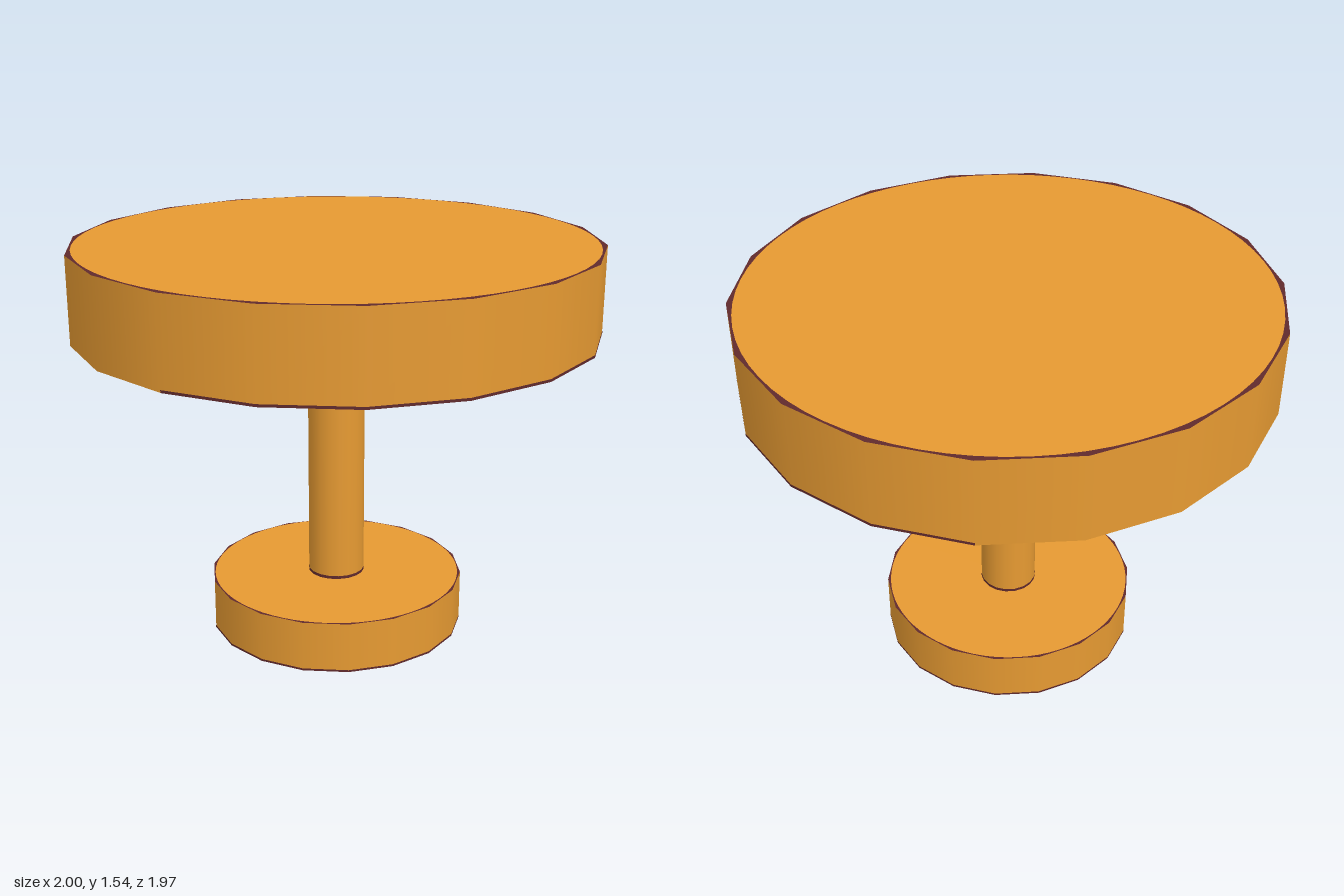
import * as THREE from 'three';

const SIDES = 18;
const STEP = (Math.PI * 2) / SIDES;

export function createModel() {
  const wood = new THREE.MeshStandardMaterial({ color: 0xe69a32 });
  wood.name = 'warm wood';
  const trim = new THREE.MeshStandardMaterial({ color: 0x602a2c });
  trim.name = 'dark trim';

  const model = new THREE.Group();
  model.name = 'roundTable';

  // Upright drum with a corner pointing along x
  function wall(name, radius, y0, y1, materials) {
    const geometry = new THREE.CylinderGeometry(radius, radius, y1 - y0, SIDES, 1, false, Math.PI / 2);
    const mesh = new THREE.Mesh(geometry, materials);
    mesh.name = name;
    mesh.position.y = (y0 + y1) / 2;
    return mesh;
  }

  // Thin dark line over a number of the drum's sides, counted round from the front
  function band(name, radius, y0, height, sides) {
    const r = radius + 0.001;
    const geometry = new THREE.CylinderGeometry(r, r, height, sides, 1, true, -STEP / 2, sides * STEP);
    const mesh = new THREE.Mesh(geometry, trim);
    mesh.name = name;
    mesh.position.y = y0 + height / 2;
    return mesh;
  }

  // Round wooden face that leaves the dark corners of the drum showing
  function face(name, radius, y, up) {
    const mesh = new THREE.Mesh(new THREE.CircleGeometry(radius, 72), wood);
    mesh.name = name;
    mesh.rotation.x = up ? -Math.PI / 2 : Math.PI / 2;
    mesh.position.y = y;
    return mesh;
  }

  // Wooden side wall with dark-cornered ends
  function drum(name, radius, y0, y1) {
    const part = new THREE.Group();
    part.name = name;
    part.add(
      wall(name + 'Body', radius, y0, y1, [wood, trim, trim]),
      face(name + 'Top', radius * 0.977, y1 + 0.001, true),
      face(name + 'Underside', radius * 0.98, y0 - 0.001, false),
    );
    return part;
  }

  const base = drum('base', 0.499, 0.001, 0.2);
  base.add(band('baseLine', 0.499, 0.001, 0.008, SIDES));

  const tabletop = drum('tabletop', 0.999, 1.205, 1.537);
  tabletop.add(band('tabletopLine', 0.999, 1.205, 0.01, 10));

  // Column between base and tabletop
  const column = new THREE.Group();
  column.name = 'column';
  column.add(
    wall('columnShaft', 0.11, 0.2, 1.206, wood),
    band('columnFootLine', 0.11, 0.201, 0.012, SIDES),
    band('columnHeadLine', 0.11, 1.194, 0.011, 10),
  );

  model.add(base, column, tabletop);
  return model;
}
